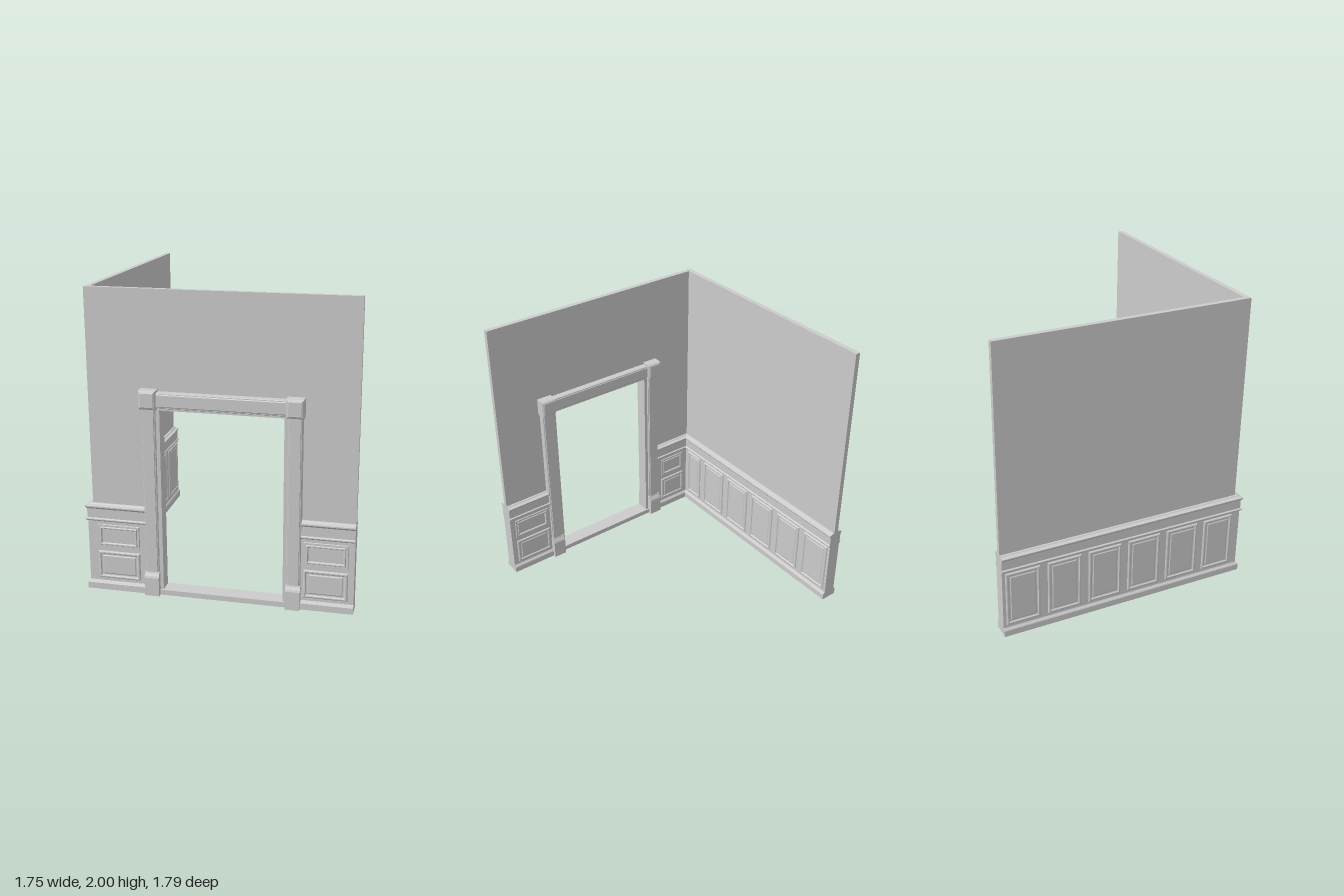
import * as THREE from 'three';

const ZF = 0.802, XS = -0.818;      // centre lines of the front and side walls
const XR = 0.877, ZB = -0.893;      // free ends of the walls
const DOOR = 0.0325;                // door centre in x
const FIELD = 0.045;                // half thickness of the wainscot field
const mat = new THREE.MeshStandardMaterial({ color: 0xcccccc, flatShading: true });

// Rectangular relief facing +z, built from nested rings of [inset, height]
function relief(w, h, rings) {
  const pos = [], idx = [];
  for (const [inset, z] of rings) {
    const a = w / 2 - inset, b = h / 2 - inset;
    pos.push(-a, -b, z, a, -b, z, a, b, z, -a, b, z);
  }
  for (let i = 0; i < rings.length - 1; i++) {
    for (let k = 0; k < 4; k++) {
      const a = i * 4 + k, b = i * 4 + (k + 1) % 4;
      idx.push(a, b, b + 4, a, b + 4, a + 4);
    }
  }
  const n = (rings.length - 1) * 4;
  idx.push(n, n + 1, n + 2, n, n + 2, n + 3);
  const g = new THREE.BufferGeometry();
  g.setAttribute('position', new THREE.Float32BufferAttribute(pos, 3));
  g.setIndex(idx);
  const flat = g.toNonIndexed();
  flat.computeVertexNormals();
  return flat;
}

// Extrude a [u, y] half profile, mirrored about u = 0; the far end may be mitred
function run(half, length, mitre = 0) {
  const pts = [...half, ...half.slice().reverse().map(([u, y]) => [-u, y])];
  const shape = new THREE.Shape(pts.map(([u, y]) => new THREE.Vector2(u, y)));
  const g = new THREE.ExtrudeGeometry(shape, { depth: length, bevelEnabled: false });
  const p = g.attributes.position;
  for (let i = 0; i < p.count; i++) {
    if (p.getZ(i) > length / 2) p.setZ(i, length + mitre * p.getX(i));
  }
  g.computeVertexNormals();
  return g;
}

export function createModel() {
  const model = new THREE.Group();
  model.name = 'doorwayCorner';
  const add = (name, geometry, x, y, z, ry = 0) => {
    const m = new THREE.Mesh(geometry, mat);
    m.name = name;
    m.position.set(x, y, z);
    m.rotation.y = ry;
    model.add(m);
  };
  const box = (name, x0, x1, y0, y1, z0, z1) =>
    add(name, new THREE.BoxGeometry(x1 - x0, y1 - y0, z1 - z0), (x0 + x1) / 2, (y0 + y1) / 2, (z0 + z1) / 2);
  // the same relief on the front and back of the front wall
  const bothFaces = (name, w, h, rings, x, y) => {
    const g = relief(w, h, rings);
    add(name, g, x, y, ZF);
    add(name, g, x, y, ZF, Math.PI);
  };

  // Plain walls, with the door opening cut from the front one
  const t = 0.017, jamb = 0.41;
  const wall = new THREE.Shape([
    [XS - t, 0], [DOOR - jamb, 0], [DOOR - jamb, 1.26], [DOOR + jamb, 1.26],
    [DOOR + jamb, 0], [XR, 0], [XR, 2], [XS - t, 2],
  ].map(([x, y]) => new THREE.Vector2(x, y)));
  add('frontWall', new THREE.ExtrudeGeometry(wall, { depth: 2 * t, bevelEnabled: false }), 0, 0, ZF - t);
  box('sideWall', XS - t, XS + t, 0, 2, ZB, ZF - t);

  // Wainscot: skirting, field, frieze and cap in one profile, mitred at the corner
  const profile = [
    [0.06, 0], [0.06, 0.042], [0.055, 0.05], [0.05, 0.052], [FIELD, 0.06],
    [FIELD, 0.478], [0.052, 0.482], [0.057, 0.488], [0.057, 0.494], [0.048, 0.5],
    [0.048, 0.562], [0.053, 0.568], [0.058, 0.574], [0.058, 0.582], [0.035, 0.588], [0.03, 0.594],
  ];
  const inner = DOOR - 0.45;
  add('frontWainscotRight', run(profile, inner - XS, 1), inner, 0, ZF, -Math.PI / 2);
  add('frontWainscotLeft', run(profile, XR - DOOR - 0.45), XR, 0, ZF, -Math.PI / 2);
  add('sideWainscot', run(profile, ZF - ZB, -1), XS, 0, ZB);

  // Moulded panels
  const frame = [[0, 0], [0.003, 0.007], [0.008, 0.01], [0.015, 0.01], [0.019, 0.004],
    [0.024, 0.002], [0.03, 0.002], [0.036, 0.006]];
  const raised = [[0, 0], [0.003, 0.006], [0.016, 0.006], [0.02, 0.011], [0.026, 0.011],
    [0.032, 0.002]];

  // Two stacked panels on each part of the front wall, both faces
  const stacks = [
    [-0.8, -0.515, 1], [0.555, 0.838, 1],
    [-0.735, -0.515, -1], [0.555, 0.838, -1],
  ];
  for (const [x0, x1, side] of stacks) {
    for (const [y0, y1, rings] of [[0.08, 0.272, frame], [0.3, 0.458, raised]]) {
      add('frontPanel', relief(x1 - x0, y1 - y0, rings), (x0 + x1) / 2, (y0 + y1) / 2,
        ZF + side * FIELD, side > 0 ? 0 : Math.PI);
    }
  }

  // Six tall panels along the side wall, both faces
  for (let i = 0; i < 6; i++) {
    const z0 = 0.563 - i * 0.287;
    for (const side of [1, -1]) {
      const z1 = i === 0 ? (side > 0 ? 0.72 : 0.785) : z0 + 0.235;
      add('sidePanel', relief(z1 - z0, 0.388, frame), XS + side * FIELD, 0.274,
        (z0 + z1) / 2, side * Math.PI / 2);
    }
  }

  // Door posts, plinth blocks and corner blocks, mirrored about the door centre
  const casing = [[0, 0], [0, 0.052], [0.004, 0.058], [0.008, 0.058], [0.011, 0.063]];
  const block = [[0, 0], [0, 0.076], [0.006, 0.086], [0.016, 0.091]];
  const plinth = [[0.084, 0], [0.084, 0.125], [0.079, 0.138], [0.068, 0.155], [0.066, 0.162]];
  for (const s of [-1, 1]) {
    const x = DOOR + s * 0.462;
    bothFaces('doorPost', 0.09, 1.12, casing, x, 0.71);
    add('plinthBlock', run(plinth, 0.096), x + 0.048, 0, ZF, -Math.PI / 2);
    bothFaces('cornerBlock', 0.11, 0.12, block, x, 1.32);
    const a = DOOR + s * 0.393, b = DOOR + s * 0.42;
    box('doorJamb', Math.min(a, b), Math.max(a, b), 0, 1.27, ZF - 0.045, ZF + 0.045);
  }

  // Head of the door and threshold
  const head = [[0, 0], [0, 0.058], [0.004, 0.064], [0.009, 0.064], [0.014, 0.068]];
  bothFaces('doorHead', 0.92, 0.1, head, DOOR, 1.316);
  box('headJamb', DOOR - 0.41, DOOR + 0.41, 1.25, 1.28, ZF - 0.045, ZF + 0.045);
  box('threshold', DOOR - 0.42, DOOR + 0.42, 0, 0.035, ZF - 0.055, ZF + 0.055);

  return model;
}
